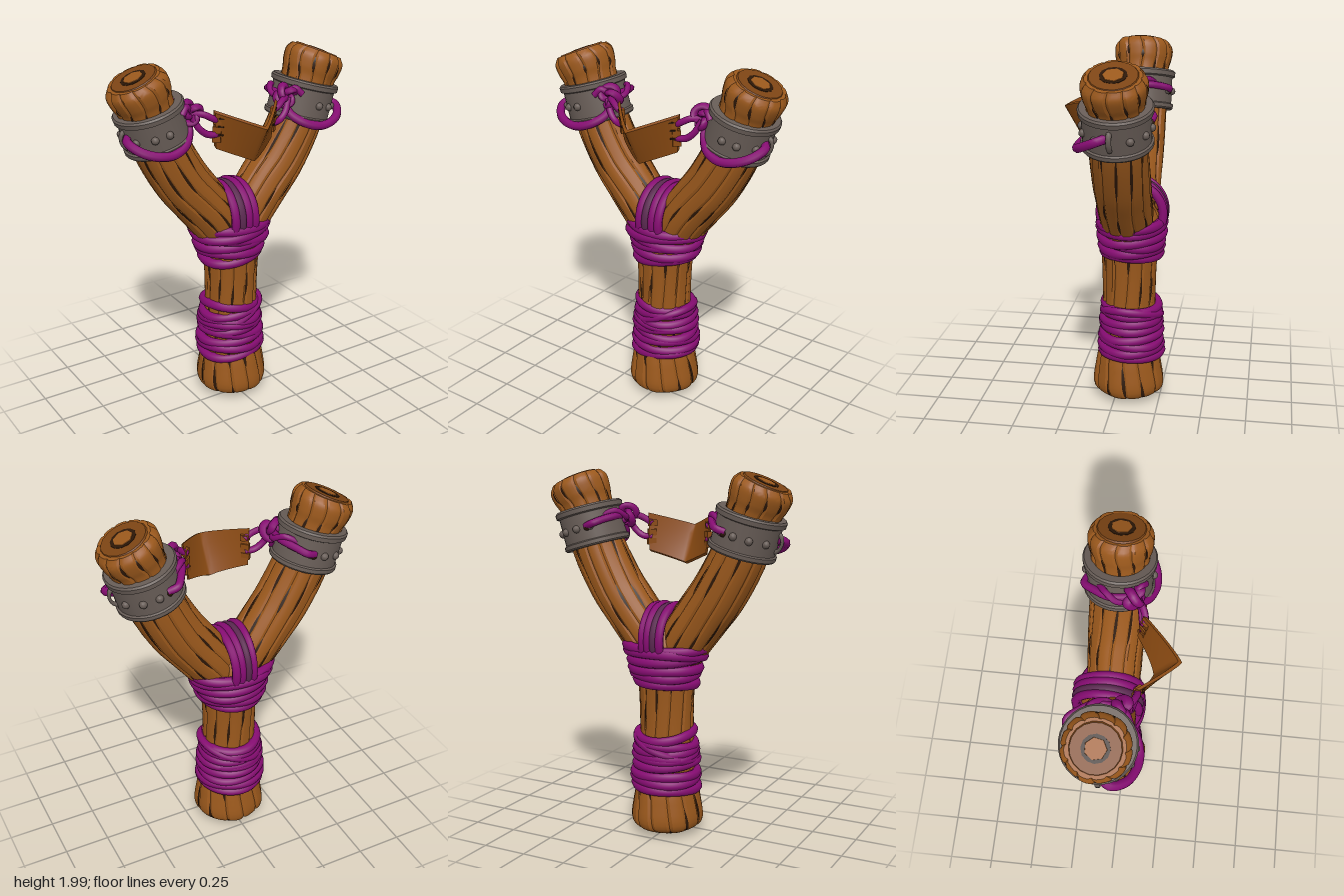
import * as THREE from 'three';
import { mergeGeometries, toCreasedNormals } from 'three/addons/utils/BufferGeometryUtils.js';

const mat = (name, color, side = THREE.FrontSide) => {
  const m = new THREE.MeshStandardMaterial({ color, side });
  m.name = name;
  return m;
};
const V = (x, y, z) => new THREE.Vector3(x, y, z);
const TAU = Math.PI * 2, PLANKS = 12, STEPS = 6, AXIS_Z = -0.068;

export function createModel() {
  const wood = mat('wood', 0x9a581c);
  const endGrain = mat('end grain', 0x7c4414);
  const crackMat = mat('dark cracks', 0x2c1707, THREE.DoubleSide);
  const cord = mat('purple cord', 0x860c72);
  const shadeCord = mat('faded cord', 0x5a2950);
  const iron = mat('grey iron', 0x675c56);
  const leather = mat('leather', 0x8a4a12);

  const model = new THREE.Group();
  const add = (parent, name, geo, material, x = 0, y = 0, z = 0) => {
    const m = new THREE.Mesh(geo, material);
    m.name = name;
    m.position.set(x, y, z);
    parent.add(m);
    return m;
  };

  // Grooved log: control points are [x, y, radius] in the plane of the fork
  function log(name, pts, seed) {
    const curve = new THREE.CatmullRomCurve3(pts.map(p => V(...p)));
    const rows = (pts.length - 1) * 5;
    const point = (t, k, lift = 0) => {
      const c = curve.getPoint(t), d = curve.getTangent(t);
      const len = Math.hypot(d.x, d.y) || 1;
      const f = k - Math.floor(k);
      const a = (k - 0.2 * Math.sin(9 * t + seed)) * TAU / PLANKS;
      const plank = 0.02 * Math.sin(Math.floor(k) % PLANKS * 2.7 + seed + 4 * t);
      const r = c.z * (1 + plank * Math.sin(f * Math.PI) - 0.055 * Math.abs(2 * f - 1) ** 6) + lift;
      return V(c.x + r * Math.cos(a) * d.y / len, c.y - r * Math.cos(a) * d.x / len, AXIS_Z + r * Math.sin(a));
    };
    const pos = [], idx = [], n = PLANKS * STEPS;
    for (let j = 0; j <= rows; j++)
      for (let i = 0; i < n; i++) pos.push(...point(j / rows, i / STEPS).toArray());
    for (let j = 0; j < rows; j++)
      for (let i = 0; i < n; i++) {
        const a = j * n + i, b = j * n + (i + 1) % n, c = a + n, d = b + n;
        idx.push(a, c, b, b, c, d);
      }
    // End faces
    [0, 1].forEach(e => {
      const c = curve.getPoint(e), centre = pos.length / 3, o = e * rows * n;
      pos.push(c.x, c.y, AXIS_Z);
      for (let i = 0; i < n; i++) {
        const a = o + i, b = o + (i + 1) % n;
        idx.push(centre, ...(e ? [b, a] : [a, b]));
      }
    });
    const geo = new THREE.BufferGeometry();
    geo.setAttribute('position', new THREE.Float32BufferAttribute(pos, 3));
    geo.setIndex(idx);
    add(model, name, toCreasedNormals(geo, 0.5), wood);

    // Tapered cracks lying along the grooves
    const cracks = [];
    for (let q = 0; q < PLANKS * 3; q++) {
      const k = q % PLANKS, band = Math.floor(q / PLANKS);
      const t0 = 0.1 + band * 0.28 + 0.09 * Math.sin(q * 5.3 + seed);
      const t1 = t0 + 0.1 + 0.07 * Math.abs(Math.sin(q * 3.1 + seed));
      const p = [], ix = [];
      for (let s = 0; s <= 8; s++) {
        const t = Math.min(t0 + (t1 - t0) * s / 8, 0.97);
        const w = 0.012 + 0.085 * Math.sin(Math.PI * s / 8);
        p.push(...point(t, k + PLANKS - w, 0.002).toArray(), ...point(t, k + PLANKS + w, 0.002).toArray());
        if (s < 8) ix.push(2 * s, 2 * s + 2, 2 * s + 1, 2 * s + 1, 2 * s + 2, 2 * s + 3);
      }
      const g = new THREE.BufferGeometry();
      g.setAttribute('position', new THREE.Float32BufferAttribute(p, 3));
      g.setIndex(ix);
      g.computeVertexNormals();
      cracks.push(g);
    }
    add(model, name + 'Cracks', mergeGeometries(cracks), crackMat);
  }

  const rope = (parent, name, pts, r, material = cord, closed = false) =>
    add(parent, name, new THREE.TubeGeometry(new THREE.CatmullRomCurve3(pts, closed), pts.length * 5, r, 8, closed), material);

  // Handle
  log('handle', [[0, 0, 0.07], [0, 0.02, 0.14], [0, 0.06, 0.195], [0, 0.2, 0.185], [0, 0.3, 0.165], [0, 0.45, 0.152],
    [0, 0.6, 0.148], [0, 0.75, 0.15], [0, 0.9, 0.158], [0, 1.05, 0.165], [0, 1.16, 0.12]], 1);

  // Cord rings wound round the handle: [y, x radius, z radius]
  const winding = (name, rings, tilt, r) => rings.forEach(([y, rx, rz], i) => {
    const pts = [];
    for (let k = 0; k < 20; k++) {
      const a = k / 20 * TAU, wob = 1 + 0.02 * Math.sin(3 * a + i * 2);
      pts.push(V(rx * wob * Math.cos(a), y + tilt * Math.sin(i * 2.3 + 1) * Math.cos(a + i) + 0.006 * Math.sin(2 * a + i * 3),
        -0.08 + rz * wob * Math.sin(a)));
    }
    rope(model, name, pts, r, cord, true);
  });
  winding('forkWinding', [[0.865, 0.16, 0.152], [0.905, 0.175, 0.16], [0.945, 0.185, 0.163], [0.985, 0.2, 0.168],
    [1.02, 0.215, 0.172], [1.05, 0.222, 0.165]], 0.018, 0.028);
  winding('gripWinding', [[0.275, 0.172, 0.165], [0.315, 0.175, 0.165], [0.355, 0.173, 0.16], [0.4, 0.168, 0.158],
    [0.44, 0.167, 0.155], [0.48, 0.16, 0.152], [0.52, 0.155, 0.15], [0.56, 0.15, 0.148]], 0.016, 0.027);
  winding('gripCrossWinding', [[0.5, 0.165, 0.16], [0.45, 0.17, 0.162]], 0.075, 0.022);

  // Strands passing over the crotch of the fork
  [-0.056, -0.019, 0.019, 0.056].forEach((x, i) => {
    const pts = [];
    for (let k = 0; k < 20; k++) {
      const a = k / 20 * TAU;
      pts.push(V(x * (1 + 0.1 * Math.cos(a)), 1.1 + (0.175 - (i % 2) * 0.006) * Math.sin(a), -0.085 + 0.172 * Math.cos(a)));
    }
    rope(model, 'crotchStrand', pts, 0.024, i === 1 ? shadeCord : cord, true);
  });

  for (const s of [1, -1]) {
    const side = s > 0 ? 'left' : 'right';
    const P = (x, y, z) => V(s * x, y, z);

    // Fork arm
    log(side + 'Arm', [[0, 0.9, 0.12], [0.13, 1.12, 0.145], [0.22, 1.24, 0.148], [0.31, 1.36, 0.15], [0.42, 1.56, 0.148],
      [0.46, 1.68, 0.145], [0.505, 1.8, 0.148], [0.523, 1.845, 0.16], [0.546, 1.9, 0.163], [0.56, 1.933, 0.14]]
      .map(([x, y, r]) => [s * x, y, r]), 2 + s);

    // Growth rings on the sawn end
    const end = new THREE.Group();
    end.name = side + 'SawnEnd';
    end.position.set(s * 0.56, 1.933, AXIS_Z);
    end.rotation.z = -s * 0.42;
    model.add(end);
    add(end, 'endFace', new THREE.CylinderGeometry(0.118, 0.124, 0.008, 18), endGrain, 0, 0.002);
    add(end, 'growthRing', new THREE.CylinderGeometry(0.068, 0.068, 0.008, 12), crackMat, 0, 0.004);
    add(end, 'heartwood', new THREE.CylinderGeometry(0.052, 0.056, 0.009, 7), wood, 0, 0.006);

    // Iron collar with rims, rivets and a staple
    const collar = new THREE.Group();
    collar.name = side + 'Collar';
    collar.position.set(s * 0.46, 1.677, AXIS_Z);
    collar.rotation.z = -s * 0.28;
    model.add(collar);
    const profile = [[0.14, -0.108], [0.176, -0.108], [0.182, -0.1], [0.182, -0.08], [0.172, -0.074], [0.172, 0.07],
      [0.186, 0.076], [0.188, 0.1], [0.18, 0.11], [0.14, 0.11]].map(p => new THREE.Vector2(...p));
    add(collar, 'band', toCreasedNormals(new THREE.LatheGeometry(profile, 32), 0.5), iron);
    [0, 0.46, 1.05, 2.1, 2.65, 3.14, 3.6].forEach(a => {
      const th = s * a;
      add(collar, 'rivet', new THREE.SphereGeometry(0.021, 10, 8), iron, 0.172 * Math.sin(th), -0.005, 0.172 * Math.cos(th));
    });
    add(collar, 'staple', new THREE.TorusGeometry(0.045, 0.014, 8, 16), iron, s * 0.168, 0, 0.01).scale.x = 0.6;
    add(collar, 'cordHole', new THREE.SphereGeometry(0.018, 8, 6), crackMat, -s * 0.06, -0.01, -0.161);

    // Cord round the collar
    rope(model, side + 'CollarCord', [P(0.61, 1.65, -0.05), P(0.642, 1.635, 0), P(0.605, 1.6, 0.075), P(0.53, 1.575, 0.115),
      P(0.45, 1.57, 0.122), P(0.37, 1.595, 0.095), P(0.315, 1.64, 0.04), P(0.3, 1.7, 0)], 0.024);
    rope(model, side + 'BackCord', [P(0.41, 1.69, -0.225), P(0.36, 1.71, -0.235), P(0.32, 1.73, -0.185), P(0.28, 1.745, -0.1),
      P(0.29, 1.74, 0)], 0.02);
    rope(model, side + 'InnerCord', [P(0.35, 1.74, -0.16), P(0.29, 1.77, -0.12), P(0.26, 1.74, -0.06), P(0.3, 1.72, 0.02)], 0.017);
    rope(model, side + 'KnotTail', [P(0.29, 1.74, 0.02), P(0.335, 1.78, 0.05), P(0.37, 1.745, 0.07)], 0.018);

    // Knot and the two strands tied to the pouch
    const knot = add(model, side + 'Knot', new THREE.TorusKnotGeometry(0.037, 0.018, 60, 8, 2, 3), cord, s * 0.295, 1.74, 0.02);
    knot.scale.z = 1.5;
    rope(model, side + 'UpperStrand', [P(0.29, 1.73, 0.03), P(0.25, 1.735, 0.065), P(0.2, 1.71, 0.085), P(0.165, 1.69, 0.08)], 0.018);
    rope(model, side + 'LowerStrand', [P(0.3, 1.73, 0.04), P(0.265, 1.66, 0.06), P(0.22, 1.625, 0.07), P(0.165, 1.62, 0.08)], 0.018);

    // Stitched tabs at the pouch end
    for (let i = 0; i < 3; i++) {
      const tab = add(model, side + 'PouchTab', new THREE.BoxGeometry(0.045, 0.035, 0.028), leather, s * 0.172, 1.595 + i * 0.05, 0.076 + i * 0.006);
      tab.rotation.y = s * 0.75;
      const stitch = add(model, side + 'Stitch', new THREE.BoxGeometry(0.03, 0.008, 0.009), crackMat, s * 0.165, 1.62 + i * 0.045, 0.1 + i * 0.007);
      stitch.rotation.y = s * 0.75;
    }
  }

  // Leather pouch: a slab bent into a forward-leaning V
  const pouch = new THREE.BoxGeometry(2, 1, 1, 24, 4, 1);
  const p = pouch.attributes.position;
  for (let i = 0; i < p.count; i++) {
    const u = p.getX(i), v = p.getY(i) + 0.5, w = p.getZ(i), m = Math.abs(u);
    const lowZ = 0.16 - 0.1 * m ** 1.3, highZ = 0.275 - 0.19 * m ** 1.15;
    p.setXYZ(i, u * (0.172 + 0.018 * v),
      THREE.MathUtils.lerp(1.475 + 0.07 * m, 1.675 + 0.07 * m, v) - w * 0.012,
      THREE.MathUtils.lerp(lowZ, highZ, v) + w * 0.02);
  }
  pouch.computeVertexNormals();
  add(model, 'pouch', pouch, leather);

  return model;
}
